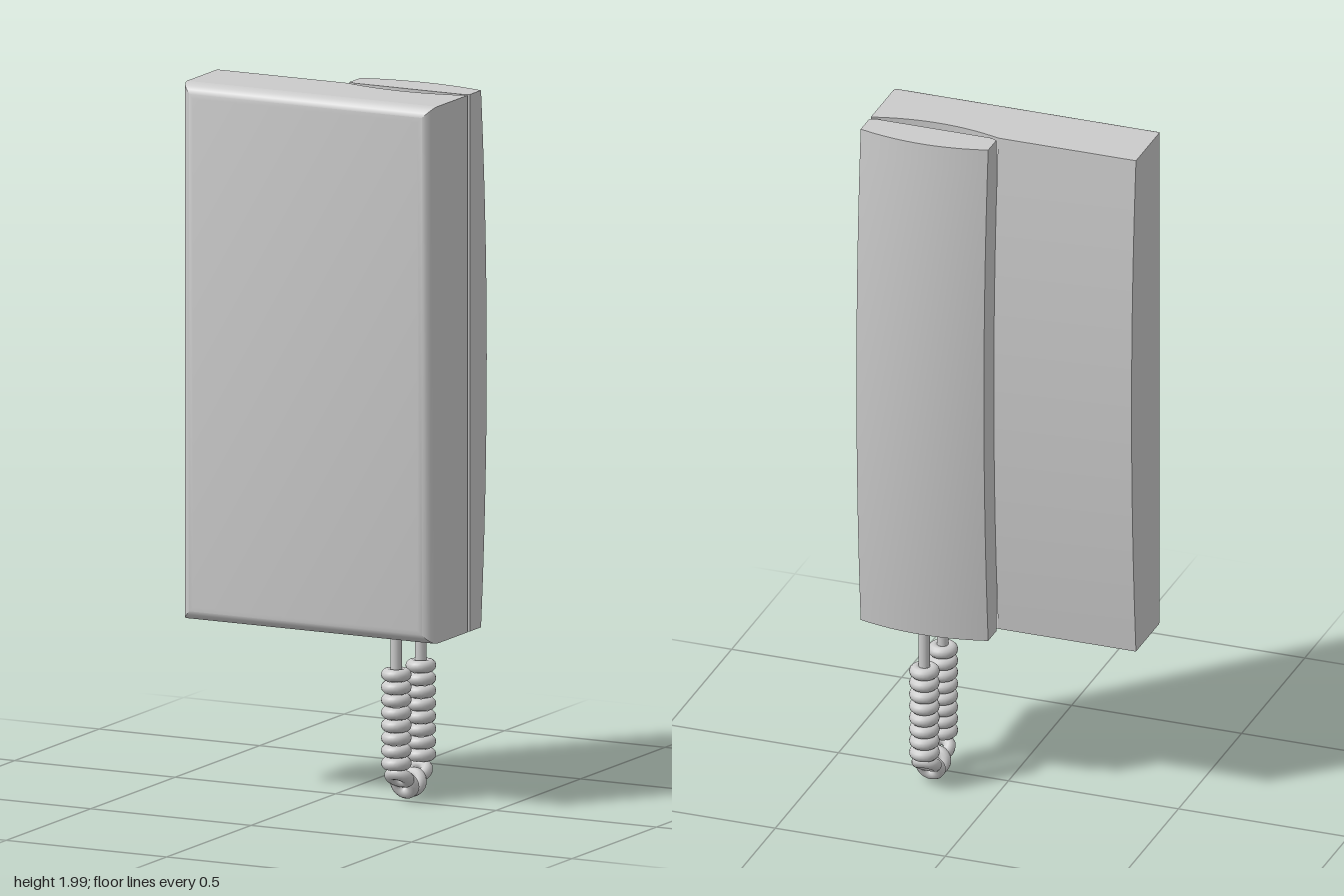
import * as THREE from 'three';
import { toCreasedNormals } from 'three/addons/utils/BufferGeometryUtils.js';

const W = 0.39, Y0 = 0.49, Y1 = 2, H = Y1 - Y0, MID = (Y0 + Y1) / 2;
const SPLIT = 0.015, CX = (SPLIT + W) / 2, HALF = (W - SPLIT) / 2;
const material = new THREE.MeshStandardMaterial({ color: 0xcccccc });

function add(parent, name, geometry) {
  const mesh = new THREE.Mesh(geometry, material);
  mesh.name = name;
  parent.add(mesh);
  return mesh;
}

// Parabolic arc: 1 in the middle, 0 at both ends
const bulge = (v, centre, half) => 1 - ((v - centre) / half) ** 2;

// Points of a bulging edge from a to b
function arc(a, b, count, fn) {
  return Array.from({ length: count + 1 }, (_, i) => fn(a + ((b - a) * i) / count));
}

// Plan outline (x, -z) extruded upwards along y
function extrudeUp(points, steps) {
  const g = new THREE.ExtrudeGeometry(new THREE.Shape(points), { depth: H, steps, bevelEnabled: false });
  return g.rotateX(-Math.PI / 2).translate(0, Y0, 0);
}

// Front cover: rectangles shrinking along a quarter circle, mitred at the corners
function frontCover(z0, r, segments) {
  const pos = [], index = [];
  for (let i = 0; i <= segments; i++) {
    const a = (i / segments) * Math.PI / 2, d = r * (1 - Math.cos(a)), z = z0 + r * Math.sin(a);
    for (const [sx, sy] of [[-1, -1], [1, -1], [1, 1], [-1, 1]])
      pos.push(sx * (W - d), MID + sy * (H / 2 - d), z);
    if (i === 0) continue;
    for (let k = 0; k < 4; k++) {
      const p = (i - 1) * 4 + k, q = (i - 1) * 4 + ((k + 1) % 4);
      index.push(p, q, q + 4, p, q + 4, p + 4);
    }
  }
  const t = segments * 4;
  index.push(t, t + 1, t + 2, t, t + 2, t + 3);
  const g = new THREE.BufferGeometry();
  g.setAttribute('position', new THREE.Float32BufferAttribute(pos, 3));
  g.setIndex(index);
  return toCreasedNormals(g, 0.6);
}

export function createModel() {
  const model = new THREE.Group();
  model.name = 'wallIntercom';
  const V = (x, y) => new THREE.Vector2(x, y);

  // Base housing
  const base = new THREE.Group();
  base.name = 'base';
  model.add(base);
  add(base, 'frontCover', frontCover(0.14, 0.04, 5));

  // Wide half, with a back that bows along its height
  const side = new THREE.Shape([
    V(-0.14, Y0),
    ...arc(Y0, Y1, 24, y => V(0.04 + 0.035 * bulge(y, MID, H / 2), y)),
    V(-0.14, Y1),
  ]);
  const wide = new THREE.ExtrudeGeometry(side, { depth: W + SPLIT, bevelEnabled: false });
  wide.rotateY(Math.PI / 2).translate(-W, 0, 0);
  add(base, 'bowedBack', toCreasedNormals(wide, 0.5));

  // Hollowed half that cradles the handset
  const cradle = extrudeUp([
    V(SPLIT, -0.14), V(W, -0.14),
    ...arc(W, SPLIT, 20, x => V(x, 0.04 - 0.03 * bulge(x, CX, HALF))),
  ], 1);
  add(base, 'cradle', toCreasedNormals(cradle, 0.5));

  // Handset: domed cross-section, then bowed along its height
  const handset = extrudeUp([
    V(SPLIT, 0.055), V(SPLIT + 0.02, 0.046), V(W - 0.02, 0.046), V(W, 0.055),
    ...arc(W, SPLIT, 20, x => V(x, 0.12 + 0.028 * bulge(x, CX, HALF))),
  ], 24);
  const p = handset.attributes.position;
  for (let i = 0; i < p.count; i++)
    if (p.getZ(i) < -0.1) p.setZ(i, p.getZ(i) - 0.034 * bulge(p.getY(i), MID, H / 2));
  add(model, 'handset', toCreasedNormals(handset, 0.5));

  // Coiled cord: two hanging runs joined by a bend
  const cord = new THREE.Group();
  cord.name = 'cord';
  model.add(cord);
  const zFront = 0.025, zBack = -0.12, zMid = (zFront + zBack) / 2;
  const ringGeometry = new THREE.TorusGeometry(0.025, 0.0175, 12, 24).rotateX(Math.PI / 2);
  const stemGeometry = new THREE.CylinderGeometry(0.016, 0.016, 0.16, 16);
  const addRing = (y, z, tilt) => {
    const ring = add(cord, 'cordCoil', ringGeometry);
    ring.position.set(CX, y, z);
    ring.rotation.x = tilt;
  };
  for (const z of [zFront, zBack]) {
    add(cord, 'cordStem', stemGeometry).position.set(CX, 0.44, z);
    for (let i = 0; i < 8; i++) addRing(0.366 - i * 0.0357, z, 0);
  }
  // Coils fanned round the bend
  for (const s of [-1, 1]) {
    addRing(0.073, zMid + s * 0.055, -s * 0.6);
    addRing(0.047, zMid + s * 0.022, -s * 1.2);
  }
  return model;
}
